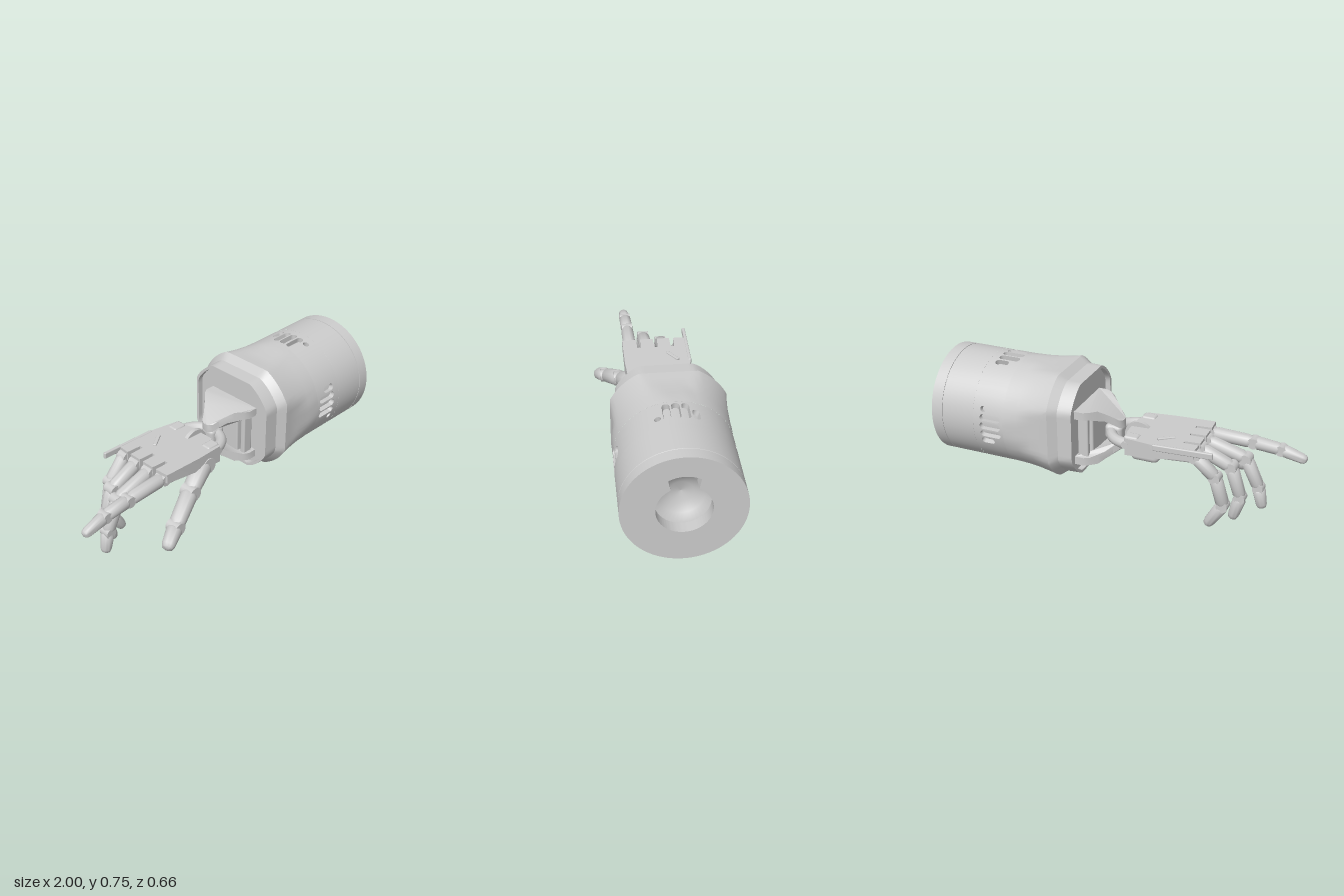
import * as THREE from 'three';
import { toCreasedNormals } from 'three/addons/utils/BufferGeometryUtils.js';
import { RoundedBoxGeometry } from 'three/addons/geometries/RoundedBoxGeometry.js';

const CY = 0.445, CZ = -0.03, R = 0.305; // forearm axis and radius
const grey = new THREE.MeshStandardMaterial({ color: 0xcccccc });
const greyBoth = new THREE.MeshStandardMaterial({ color: 0xcccccc, side: THREE.DoubleSide });

function add(parent, name, geometry, x = 0, y = 0, z = 0, material = grey) {
  const mesh = new THREE.Mesh(geometry, material);
  mesh.name = name;
  mesh.position.set(x, y, z);
  parent.add(mesh);
  return mesh;
}

// Skin over sections [x, half width, radius]: a circle clipped by a square
function loft(sections, n = 80) {
  const pos = [], idx = [];
  sections.forEach(([x, h, r], i) => {
    for (let j = 0; j <= n; j++) {
      const a = (j / n) * Math.PI * 2, c = Math.cos(a), s = Math.sin(a);
      const q = Math.min(r, h / Math.max(Math.abs(c), Math.abs(s)));
      pos.push(x, CY + q * s, CZ + q * c);
      if (i && j < n) {
        const b = i * (n + 1) + j, p = b - n - 1;
        idx.push(p, b, b + 1, p, b + 1, p + 1);
      }
    }
  });
  const g = new THREE.BufferGeometry();
  g.setAttribute('position', new THREE.Float32BufferAttribute(pos, 3));
  g.setIndex(idx);
  return toCreasedNormals(g, 0.45);
}

// One 9 degree strip of the vented band, with an optional slot, bent round the axis
function ventStrip(a0, slot) {
  const v = R * Math.PI / 40, depth = 0.03;
  const shape = new THREE.Shape([[0.56, -v], [0.74, -v], [0.74, v], [0.56, v]].map(p => new THREE.Vector2(...p)));
  if (slot) {
    const [x0, x1, r] = slot, hole = new THREE.Path();
    hole.absarc(x1, 0, r, -Math.PI / 2, Math.PI / 2);
    hole.absarc(x0, 0, r, Math.PI / 2, Math.PI * 1.5);
    shape.holes.push(hole);
  }
  const g = new THREE.ExtrudeGeometry(shape, { depth, bevelEnabled: false, curveSegments: 8 });
  const p = g.attributes.position, outer = [];
  for (let i = 0; i < p.count; i++) {
    outer.push(g.attributes.normal.getZ(i) > 0.9);
    const a = a0 + p.getY(i) / R, q = R - depth + p.getZ(i);
    p.setXYZ(i, p.getX(i), CY + q * Math.sin(a), CZ + q * Math.cos(a));
  }
  g.computeVertexNormals();
  outer.forEach((o, i) => {
    if (o) g.attributes.normal.setXYZ(i, 0, (p.getY(i) - CY) / R, (p.getZ(i) - CZ) / R);
  });
  return g;
}

function buildForearm() {
  const arm = new THREE.Group();
  arm.name = 'forearm';
  add(arm, 'wristCollar', loft([
    [0.2, 0.001, 0.001], [0.2, 0.25, 0.285], [0.17, 0.25, 0.285], [0.17, 0.265, 0.3], [0.25, 0.268, 0.303],
    [0.295, 0.3, 0.335], [0.33, 0.297, 0.328], [0.4, 0.291, 0.316], [0.48, 0.303, 0.308], [0.56, R, R]]));
  // Vented band, four sets of slots
  const slots = [[0.68, 0.68, 0.017], [0.595, 0.68, 0.019], [0.595, 0.68, 0.02], [0.595, 0.68, 0.019], [0.64, 0.68, 0.019]];
  for (let k = 0; k < 40; k++) add(arm, 'ventStrip', ventStrip(k * Math.PI / 20, slots[(k + 2) % 10]));
  add(arm, 'ventFloor', new THREE.CylinderGeometry(0.277, 0.277, 0.2, 48, 1, true).rotateZ(Math.PI / 2), 0.65, CY, CZ);
  add(arm, 'rearShell', loft([[0.74, R, R], [0.931, R, R], [0.933, 0.302, 0.302], [0.936, 0.302, 0.302]]));

  // End ring with a keyhole socket
  const ring = new THREE.Shape().absarc(0, 0, R, 0, Math.PI * 2);
  const key = new THREE.Path();
  key.absarc(0, 0, 0.136, Math.PI * 0.34, Math.PI * 0.66 - Math.PI * 2, true);
  key.lineTo(-0.077, 0.175);
  key.quadraticCurveTo(0, 0.215, 0.077, 0.175);
  key.closePath();
  ring.holes.push(key);
  const ringGeo = new THREE.ExtrudeGeometry(ring, { depth: 0.065, bevelEnabled: false, curveSegments: 48 });
  add(arm, 'endRing', toCreasedNormals(ringGeo.rotateY(Math.PI / 2), 0.5), 0.935, CY, CZ);
  const bowl = [[0.001, -0.08], [0.06, -0.07], [0.11, -0.045], [0.15, -0.01], [0.25, 0]].map(p => new THREE.Vector2(...p));
  add(arm, 'socketBowl', new THREE.LatheGeometry(bowl, 40).rotateZ(-Math.PI / 2), 0.937, CY, CZ, greyBoth);
  return arm;
}

function buildWrist() {
  const wrist = new THREE.Group();
  wrist.name = 'wrist';
  wrist.position.set(0, 0.4, CZ);
  // Two tapered yoke plates that curve in to the joint
  const side = [[0.2, 0.165], [0.15, 0.165], [0.12, 0.148], [0.085, 0.115], [0.055, 0.086], [0.02, 0.058], [-0.01, 0.038], [-0.025, 0.015]];
  const outline = [...side, ...side.slice().reverse().map(([x, z]) => [x, -z])].map(p => new THREE.Vector2(...p));
  for (const turn of [0, Math.PI]) {
    const g = new THREE.ExtrudeGeometry(new THREE.Shape(outline), { depth: 0.045, bevelEnabled: false }).rotateX(Math.PI / 2);
    const p = g.attributes.position;
    for (let i = 0; i < p.count; i++) {
      const t = THREE.MathUtils.clamp((0.085 - p.getX(i)) / 0.1, 0, 1);
      p.setY(i, p.getY(i) + 0.158 - 0.075 * t);
    }
    add(wrist, 'forearmYoke', toCreasedNormals(g, 0.6)).rotation.x = turn;
  }
  add(wrist, 'yokePost', new RoundedBoxGeometry(0.04, 0.24, 0.2, 2, 0.01), 0.14, 0, 0);
  for (const s of [-1, 1]) add(wrist, 'yokeStrut', new RoundedBoxGeometry(0.06, 0.26, 0.03, 2, 0.008), 0.16, 0, s * 0.13);
  add(wrist, 'jointPin', new THREE.CylinderGeometry(0.03, 0.03, 0.17, 20), 0.01, 0, 0);
  add(wrist, 'jointHub', new RoundedBoxGeometry(0.1, 0.09, 0.09, 3, 0.025), 0.03, 0.005, 0);
  // Hooped yoke of the hand
  add(wrist, 'handYoke', new THREE.TorusGeometry(0.13, 0.03, 12, 28, Math.PI).rotateX(Math.PI / 2).rotateY(Math.PI / 2), -0.09, 0.01, 0);
  add(wrist, 'wristFin', new THREE.CylinderGeometry(0.08, 0.08, 0.022, 28).rotateX(Math.PI / 2), -0.11, 0.005, 0);
  return wrist;
}

// Tapered, round-ended segment from a to b
function segment(parent, name, a, b, r1, r2, tip) {
  const d = b.clone().sub(a), L = d.length();
  const end = tip ? [[r2 * 1.05, 0.8], [r2 * 0.85, 0.93], [r2 * 0.45, 0.99], [0.0005, 1]] : [[r2, 0.86], [r2 * 0.75, 0.97], [0.0005, 0.98]];
  const prof = [[0.0005, 0.02], [r1 * 0.75, 0.03], [r1, 0.14], ...end].map(([r, t]) => new THREE.Vector2(r, t * L));
  const m = add(parent, name, toCreasedNormals(new THREE.LatheGeometry(prof, 18), 0.8), a.x, a.y, a.z);
  m.quaternion.setFromUnitVectors(new THREE.Vector3(0, 1, 0), d.normalize());
}

function buildFinger(name, points, radii) {
  const finger = new THREE.Group();
  finger.name = name;
  const pts = points.map(p => new THREE.Vector3(...p));
  for (let i = 0; i < 3; i++) {
    const r = radii[i];
    segment(finger, ['proximal', 'middleBone', 'fingertip'][i], pts[i], pts[i + 1], r, radii[i + 1], i === 2);
    add(finger, 'knuckle', new THREE.CylinderGeometry(r * 0.85, r * 0.85, r * 1.7, 18).rotateX(Math.PI / 2), pts[i].x, pts[i].y, pts[i].z);
  }
  return finger;
}

function buildHand() {
  const hand = new THREE.Group();
  hand.name = 'hand';
  // Palm outline with slits between the fingers; thicker towards the wrist
  const pts = [[-0.09, -0.19], [-0.07, -0.1], [-0.07, 0.05], [-0.09, 0.145], [-0.25, 0.155], [-0.48, 0.155]];
  for (const z of [0.063, -0.035, -0.13]) pts.push([-0.485, z + 0.012], [-0.4, z + 0.01], [-0.4, z - 0.01], [-0.485, z - 0.012]);
  pts.push([-0.48, -0.215], [-0.25, -0.215]);
  const topY = x => 0.452 - 0.04 * x;
  const palm = new THREE.ExtrudeGeometry(new THREE.Shape(pts.map(p => new THREE.Vector2(...p))), { depth: 1, bevelEnabled: false }).rotateX(Math.PI / 2);
  const p = palm.attributes.position;
  for (let i = 0; i < p.count; i++) {
    const x = p.getX(i);
    p.setY(i, topY(x) + p.getY(i) * (0.11 + 0.12 * x));
  }
  add(hand, 'palm', toCreasedNormals(palm, 0.5));
  // Details on the back of the hand
  for (const z of [-0.155, 0.1]) {
    add(hand, 'wristLug', new RoundedBoxGeometry(0.08, 0.07, 0.06, 2, 0.012), -0.12, 0.43, z);
    add(hand, 'lugPin', new THREE.CylinderGeometry(0.02, 0.02, 0.08, 16).rotateX(Math.PI / 2), -0.09, 0.415, z);
  }
  add(hand, 'sideBlade', new RoundedBoxGeometry(0.33, 0.035, 0.018, 2, 0.006), -0.42, 0.455, -0.213).rotation.z = -0.04;
  const bar = add(hand, 'backRidge', new RoundedBoxGeometry(0.1, 0.012, 0.02, 2, 0.004), -0.3, 0.466, -0.12);
  bar.rotation.y = 0.6;
  // Underside blocks
  for (const z of [0.11, 0.015, -0.085, -0.175]) add(hand, 'fingerHousing', new RoundedBoxGeometry(0.16, 0.045, 0.06, 2, 0.012), -0.39, 0.41, z).rotation.z = -0.08;
  add(hand, 'palmHeel', new RoundedBoxGeometry(0.16, 0.1, 0.26, 3, 0.03), -0.19, 0.37, -0.04);
  add(hand, 'thumbMount', new RoundedBoxGeometry(0.12, 0.1, 0.12, 3, 0.03), -0.18, 0.36, 0.08);
  add(hand, 'thumbPivot', new THREE.CylinderGeometry(0.035, 0.035, 0.07, 20), -0.16, 0.335, 0.06);

  const flat = (z, tipZ, list) => list.map(([x, y], i) => [x, y, z + (tipZ - z) * i / 3]);
  hand.add(
    buildFinger('indexFinger', flat(0.11, 0.115, [[-0.47, 0.425], [-0.71, 0.415], [-0.86, 0.4], [-1, 0.362]]), [0.037, 0.036, 0.034, 0.026]),
    buildFinger('middleFinger', flat(0.015, 0.02, [[-0.48, 0.425], [-0.7, 0.36], [-0.775, 0.2], [-0.8, 0.08]]), [0.037, 0.037, 0.035, 0.028]),
    buildFinger('ringFinger', flat(-0.085, -0.08, [[-0.48, 0.425], [-0.65, 0.35], [-0.705, 0.18], [-0.665, 0.04]]), [0.037, 0.037, 0.035, 0.028]),
    buildFinger('littleFinger', flat(-0.18, -0.145, [[-0.48, 0.425], [-0.59, 0.32], [-0.635, 0.155], [-0.545, 0.01]]), [0.036, 0.036, 0.036, 0.029]),
    buildFinger('thumb', [[-0.18, 0.375, 0.11], [-0.34, 0.305, 0.175], [-0.52, 0.215, 0.25], [-0.63, 0.16, 0.3]], [0.055, 0.047, 0.043, 0.034]));
  return hand;
}

export function createModel() {
  const model = new THREE.Group();
  model.name = 'mechanicalHand';
  model.add(buildForearm(), buildWrist(), buildHand());
  return model;
}
